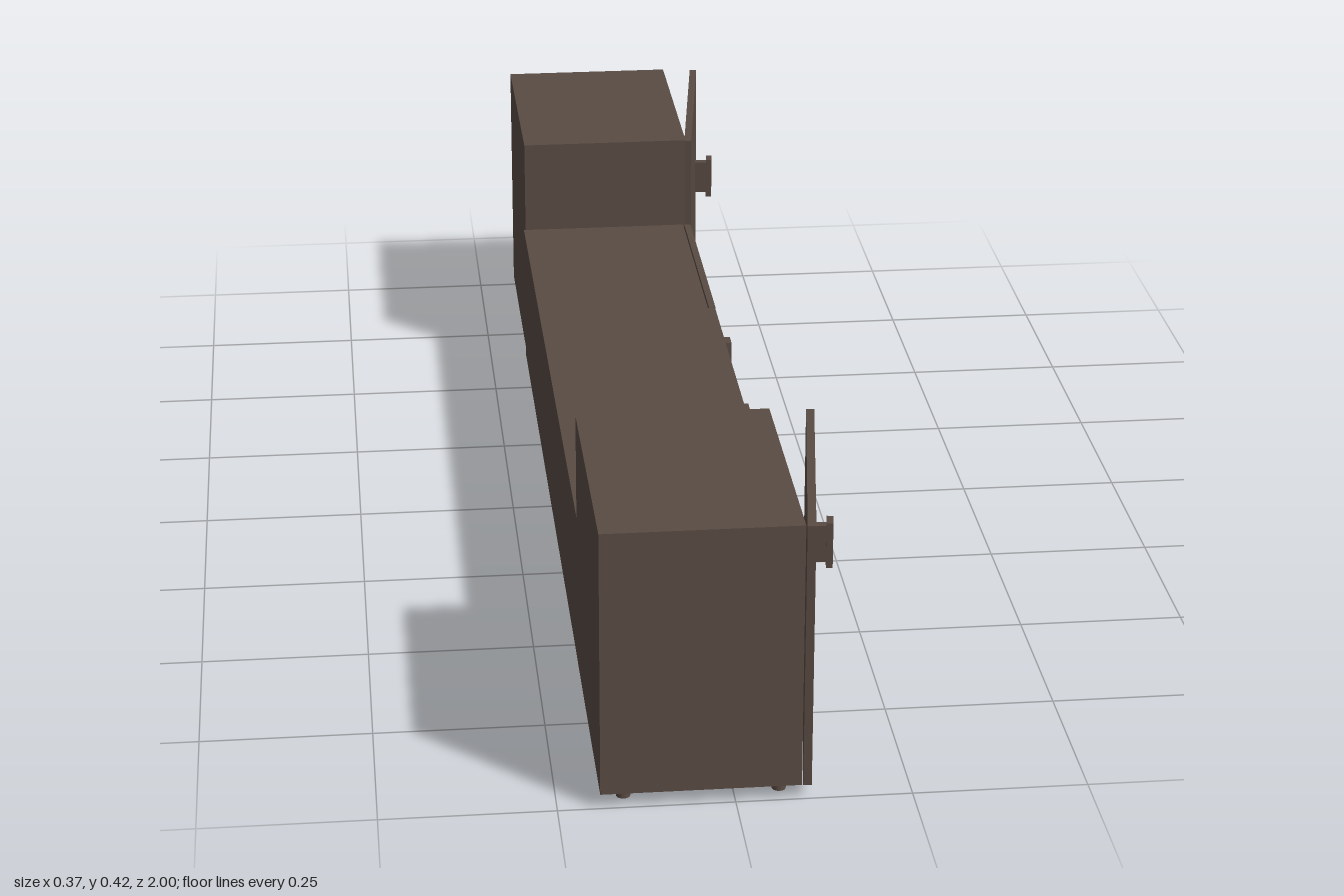
import * as THREE from 'three';

const wood = new THREE.MeshStandardMaterial({ color: 0x5a4c44 });
wood.name = 'dark brown wood';

const BACK = -0.19; // x of the rear face; cabinet fronts face +x
const T = 0.01;     // panel thickness

// Box given by its minimum and maximum corners
function slab(parent, name, x0, x1, y0, y1, z0, z1) {
  const mesh = new THREE.Mesh(new THREE.BoxGeometry(x1 - x0, y1 - y0, z1 - z0), wood);
  mesh.position.set((x0 + x1) / 2, (y0 + y1) / 2, (z0 + z1) / 2);
  mesh.name = name;
  parent.add(mesh);
  return mesh;
}

// Hollow carcass open towards +x; topFront lets the top overhang the sides
function carcass(name, back, front, y0, y1, z0, z1, topFront = front) {
  const g = new THREE.Group();
  g.name = name;
  slab(g, 'bottomPanel', back, front, y0, y0 + T, z0, z1);
  slab(g, 'topPanel', back, topFront, y1 - T, y1, z0, z1);
  slab(g, 'sidePanel', back, front, y0 + T, y1 - T, z0, z0 + T);
  slab(g, 'sidePanel', back, front, y0 + T, y1 - T, z1 - T, z1);
  slab(g, 'backPanel', back, back + T, y0 + T, y1 - T, z0 + T, z1 - T);
  return g;
}

// Pull handle: narrow stem block and wider grip plate, standing out along +x
function handle(parent, x, y, z, vertical, depth = 0.03) {
  const g = new THREE.Group();
  g.name = 'handle';
  slab(g, 'handleStem', 0, depth - 0.01, -0.029, 0.029, -0.007, 0.007);
  slab(g, 'handleGrip', depth - 0.01, depth, -0.036, 0.036, -0.0135, 0.0135);
  g.position.set(x, y, z);
  if (!vertical) g.rotation.x = Math.PI / 2;
  parent.add(g);
}

// Door standing ajar, hinged at its +z edge
function ajarDoor(parent, name, y0, y1, hingeZ, handleY) {
  const g = new THREE.Group();
  g.name = name;
  slab(g, 'doorPanel', 0, 0.012, y0, y1, -0.399, 0);
  handle(g, 0.012, handleY, -0.344, true);
  g.position.set(0.095, 0, hingeZ);
  g.rotation.y = -0.13;
  parent.add(g);
}

export function createModel() {
  const model = new THREE.Group();
  model.name = 'mediaCabinet';

  // Tall end cabinets, each with one inner shelf
  const frontTall = carcass('frontTallCabinet', BACK, 0.093, 0.022, 0.423, 0.6, 1);
  slab(frontTall, 'innerShelf', BACK + T, 0.08, 0.217, 0.227, 0.6 + T, 1 - T);
  ajarDoor(frontTall, 'frontTallDoor', 0.021, 0.421, 0.998, 0.233);
  const rearTall = carcass('rearTallCabinet', BACK + 0.003, 0.097, 0.017, 0.418, -1, -0.6);
  slab(rearTall, 'innerShelf', BACK + T, 0.08, 0.212, 0.222, -1 + T, -0.6 - T);
  ajarDoor(rearTall, 'rearTallDoor', 0.017, 0.416, -0.602, 0.227);

  // Low unit with two open niches above two drawers
  const low = carcass('lowDrawerUnit', BACK, 0.095, 0.023, 0.26, -0.2, 0.6, 0.105);
  slab(low, 'divider', BACK + T, 0.095, 0.023 + T, 0.25, 0.195, 0.205);
  slab(low, 'nicheShelf', BACK + T, 0.095, 0.17, 0.18, -0.2 + T, 0.6 - T);
  for (const [z, depth] of [[0.4, 0.022], [0, 0.036]]) {
    slab(low, 'drawerFront', 0.095, 0.106, 0.026, 0.18, z - 0.199, z + 0.199);
    handle(low, 0.106, 0.141, z, false, depth);
  }

  // Low cupboard with a closed door
  const cupboard = carcass('lowCupboard', BACK, 0.093, 0.023, 0.26, -0.6, -0.2);
  slab(cupboard, 'cupboardDoor', 0.095, 0.106, 0.026, 0.26, -0.599, -0.201);
  handle(cupboard, 0.106, 0.15, -0.236, true);

  // Short round feet
  const footGeo = new THREE.CylinderGeometry(0.01, 0.01, 0.023, 20);
  for (const z of [0.965, 0.64, 0.57, -0.16, -0.24, -0.57]) {
    for (const x of [-0.155, 0.065]) {
      const foot = new THREE.Mesh(footGeo, wood);
      foot.position.set(x, 0.0115, z);
      foot.name = 'foot';
      model.add(foot);
    }
  }

  model.add(frontTall, rearTall, low, cupboard);
  return model;
}
